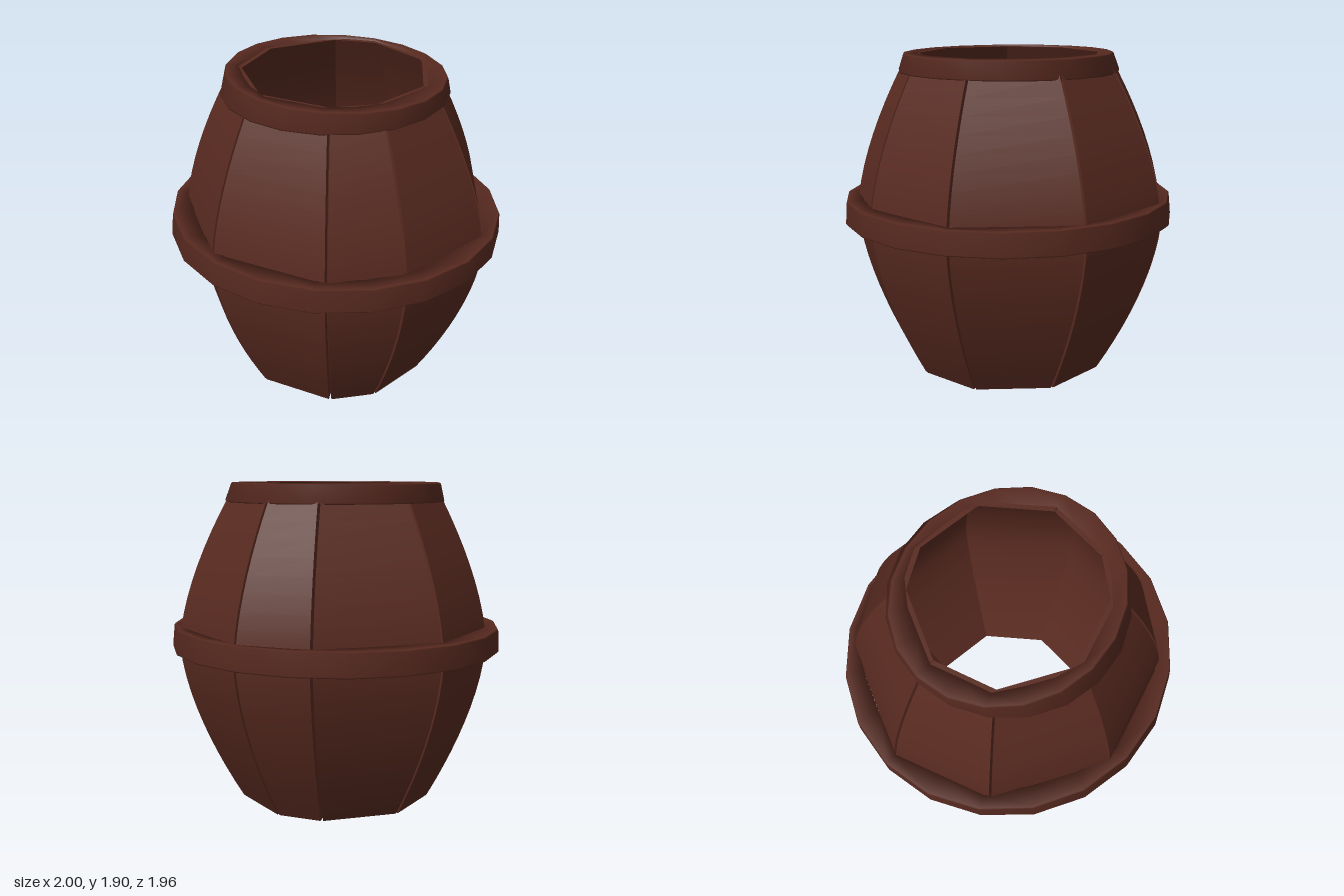
import * as THREE from 'three';

// Seams around the barrel: direction in degrees from +x towards +z, radius at the belly
const SEAMS = [
  [22, 0.91], [49.6, 0.915], [95.2, 0.91], [141.8, 0.915], [180.8, 0.93],
  [227, 0.935], [254.2, 0.945], [297.2, 0.94], [342.7, 0.945],
];
const HEIGHT = 1.895;
const END_RADIUS = 0.58;
const THICKNESS = 0.062;
const GAP = 0.016;

// Outer corner of the staves at a seam and height
function seamPoint([degrees, belly], y, inset = 0) {
  const bulge = 1 - Math.abs((y - 0.96) / 0.96) ** 1.6;
  const r = END_RADIUS + (belly - END_RADIUS) * bulge - inset;
  const a = THREE.MathUtils.degToRad(degrees);
  return new THREE.Vector2(r * Math.cos(a), r * Math.sin(a));
}

// Distance from the axis to the flat stave faces in a given direction
function staveRadius(direction, y) {
  for (let i = 0; i < SEAMS.length; i++) {
    const a = seamPoint(SEAMS[i], y), b = seamPoint(SEAMS[(i + 1) % SEAMS.length], y);
    if (a.cross(direction) >= 0 && direction.cross(b) >= 0) {
      return a.cross(b) / direction.cross(b.clone().sub(a));
    }
  }
  return END_RADIUS;
}

// One flat-faced stave, bent along its height, with a groove left at each outer edge
function staveGeometry(from, to) {
  const g = new THREE.BoxGeometry(1, HEIGHT, 1, 1, 20, 1);
  const p = g.attributes.position;
  for (let i = 0; i < p.count; i++) {
    const y = p.getY(i) + HEIGHT / 2;
    const inside = p.getZ(i) < 0;
    const [near, far] = p.getX(i) < 0 ? [to, from] : [from, to];
    const v = seamPoint(near, y, inside ? THICKNESS : 0);
    const along = seamPoint(far, y).sub(seamPoint(near, y)).normalize();
    v.addScaledVector(along, inside ? 0 : GAP / 2);
    p.setXYZ(i, v.x, y, v.y);
  }
  g.computeVertexNormals();
  return g;
}

// Soft-shaded hoop of 20 sides: round outside leaning in at front and back, inside hugging the staves
function hoopGeometry(outer, y0, y1, depthLow, depthHigh, clearance) {
  const inner = outer - 0.08;
  const profile = [
    [inner, y0], [outer - 0.006, y0], [outer, y0 + 0.008], [outer, y1 - 0.008],
    [outer - 0.006, y1], [inner, y1], [inner, y0],
  ].map(([r, y]) => new THREE.Vector2(r, y));
  const g = new THREE.LatheGeometry(profile, 20);
  const p = g.attributes.position;
  for (let i = 0; i < p.count; i++) {
    const y = p.getY(i);
    const v = new THREE.Vector2(p.getX(i), p.getZ(i));
    if (v.length() < outer - 0.04) {
      v.normalize();
      v.multiplyScalar(staveRadius(v, y) + clearance);
    } else {
      v.y *= THREE.MathUtils.lerp(depthLow, depthHigh, (y - y0) / (y1 - y0));
    }
    p.setXYZ(i, v.x, y, v.y);
  }
  return g;
}

export function createModel() {
  const model = new THREE.Group();
  model.name = 'barrel';
  const wood = new THREE.MeshStandardMaterial({ color: 0x582a20 });
  wood.name = 'dark brown wood';

  const add = (parent, geometry, name) => {
    const mesh = new THREE.Mesh(geometry, wood);
    mesh.name = name;
    parent.add(mesh);
  };

  // Staves
  const staves = new THREE.Group();
  staves.name = 'staves';
  SEAMS.forEach((from, i) => {
    add(staves, staveGeometry(from, SEAMS[(i + 1) % SEAMS.length]), `stave${i + 1}`);
  });
  model.add(staves);

  // Hoops
  add(model, hoopGeometry(1.0, 0.92, 1.06, 0.98, 0.96, 0.006), 'middleHoop');
  add(model, hoopGeometry(0.655, 1.79, 1.9, 1.0, 0.91, -0.03), 'topHoop');

  return model;
}
